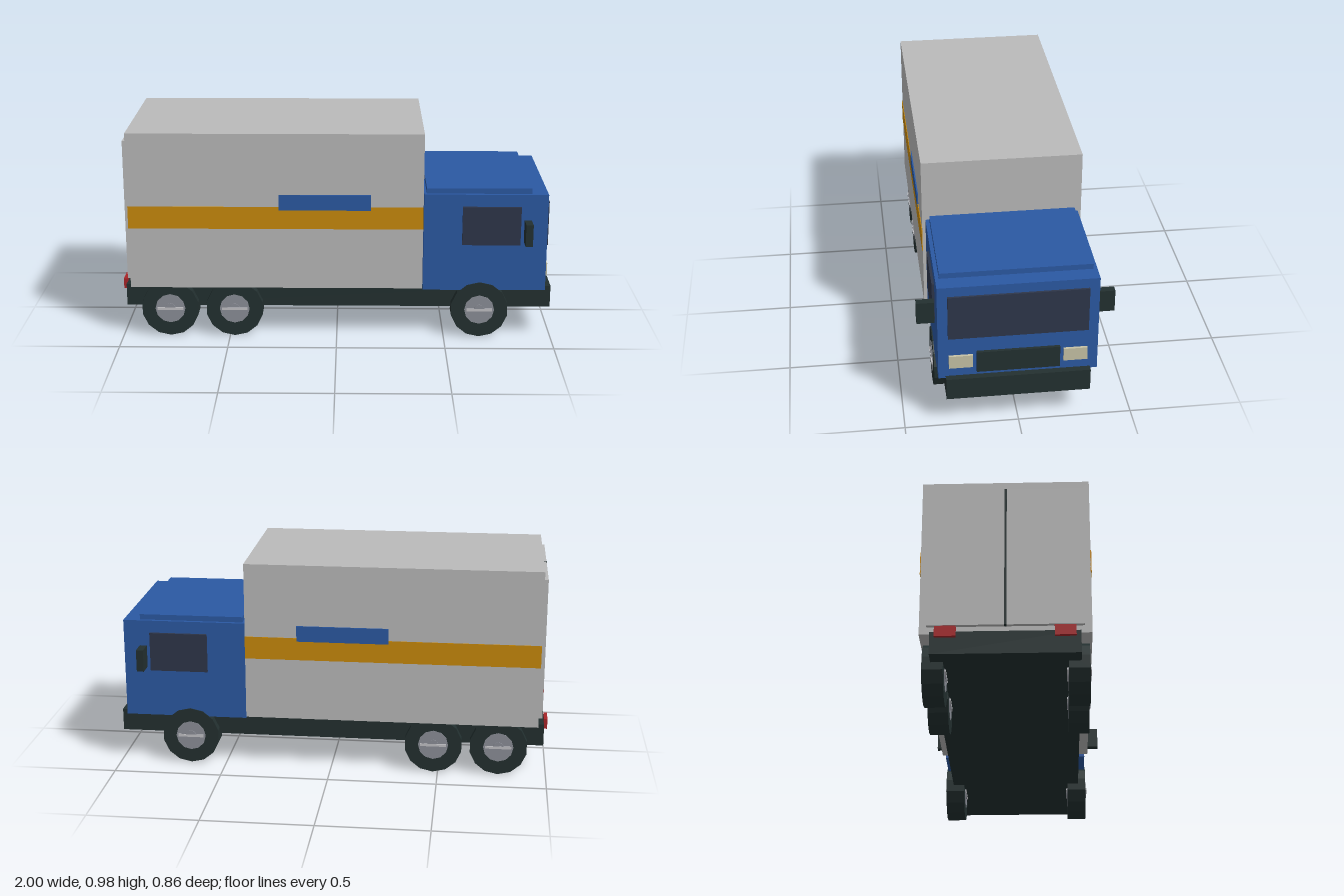
import * as THREE from 'three';

const paint = (name, color) => {
  const m = new THREE.MeshStandardMaterial({ color });
  m.name = name;
  return m;
};

export function createModel() {
  const truck = new THREE.Group();
  truck.name = 'boxTruck';

  const blue = paint('cabBlue', 0x2b59a3);
  const grey = paint('cargoGrey', 0xbababa);
  const orange = paint('stripeOrange', 0xc98a0c);
  const dark = paint('chassisDark', 0x233030);
  const glass = paint('darkGlass', 0x2e364a);
  const cream = paint('lampCream', 0xc6c2a6);
  const red = paint('tailRed', 0xa82428);
  const steel = paint('rimSteel', 0x8c8f98);
  const silver = paint('hubSilver', 0xc4c4c8);

  // Box given by its limits along each axis
  const box = (name, mat, [x0, x1], [y0, y1], [z0, z1], parent = truck) => {
    const mesh = new THREE.Mesh(new THREE.BoxGeometry(x1 - x0, y1 - y0, z1 - z0), mat);
    mesh.position.set((x0 + x1) / 2, (y0 + y1) / 2, (z0 + z1) / 2);
    mesh.name = name;
    parent.add(mesh);
    return mesh;
  };
  // The same box on both sides of the truck
  const pair = (name, mat, x, y, [z0, z1]) => {
    box(name + 'Right', mat, x, y, [z0, z1]);
    box(name + 'Left', mat, x, y, [-z1, -z0]);
  };

  // Main bodies
  box('chassis', dark, [-0.985, 0.998], [0.137, 0.24], [-0.315, 0.315]);
  box('cargoBox', grey, [-0.957, 0.397], [0.242, 0.978], [-0.362, 0.362]);
  box('cab', blue, [0.4, 0.968], [0.23, 0.692], [-0.347, 0.347]);
  box('cabRoof', blue, [0.412, 0.893], [0.692, 0.717], [-0.33, 0.33]);

  // Cargo side markings
  pair('cargoStripe', orange, [-0.957, 0.397], [0.53, 0.635], [0.36, 0.365]);
  pair('cargoPanel', blue, [-0.265, 0.157], [0.62, 0.693], [0.361, 0.368]);

  // Rear doors, parted by a narrow seam
  pair('rearDoor', grey, [-0.975, -0.957], [0.275, 0.935], [0.005, 0.33]);
  box('doorSeam', dark, [-0.978, -0.957], [0.275, 0.935], [-0.005, 0.005]);
  pair('tailLight', red, [-1, -0.984], [0.213, 0.26], [0.205, 0.295]);

  // Cab face and sides
  box('windscreen', glass, [0.966, 0.978], [0.437, 0.647], [-0.303, 0.303]);
  box('grille', dark, [0.966, 0.982], [0.26, 0.362], [-0.181, 0.181]);
  pair('headlight', cream, [0.966, 0.98], [0.286, 0.347], [0.197, 0.301]);
  pair('sideWindow', glass, [0.577, 0.845], [0.453, 0.635], [0.345, 0.358]);
  pair('mirror', dark, [0.86, 0.893], [0.47, 0.573], [0.353, 0.43]);

  // Wheels: tyre, rim, hub cap and cross bar
  const tyre = new THREE.CylinderGeometry(0.134, 0.134, 0.09, 14).toNonIndexed().rotateX(Math.PI / 2);
  tyre.computeVertexNormals();
  const rim = new THREE.CylinderGeometry(0.07, 0.07, 0.094, 12).rotateX(Math.PI / 2);
  const cap = new THREE.CylinderGeometry(0.026, 0.026, 0.102, 10).rotateX(Math.PI / 2);
  for (const x of [-0.778, -0.477, 0.665]) {
    for (const side of [1, -1]) {
      const wheel = new THREE.Group();
      wheel.name = 'wheel';
      wheel.position.set(x, 0.134, side * 0.307);
      for (const [name, geo, mat] of [['tyre', tyre, dark], ['rim', rim, steel], ['hubCap', cap, steel]]) {
        const mesh = new THREE.Mesh(geo, mat);
        mesh.name = name;
        wheel.add(mesh);
      }
      box('hubBar', silver, [-0.06, 0.06], [-0.006, 0.006], [-0.052, 0.052], wheel);
      truck.add(wheel);
    }
  }
  return truck;
}
